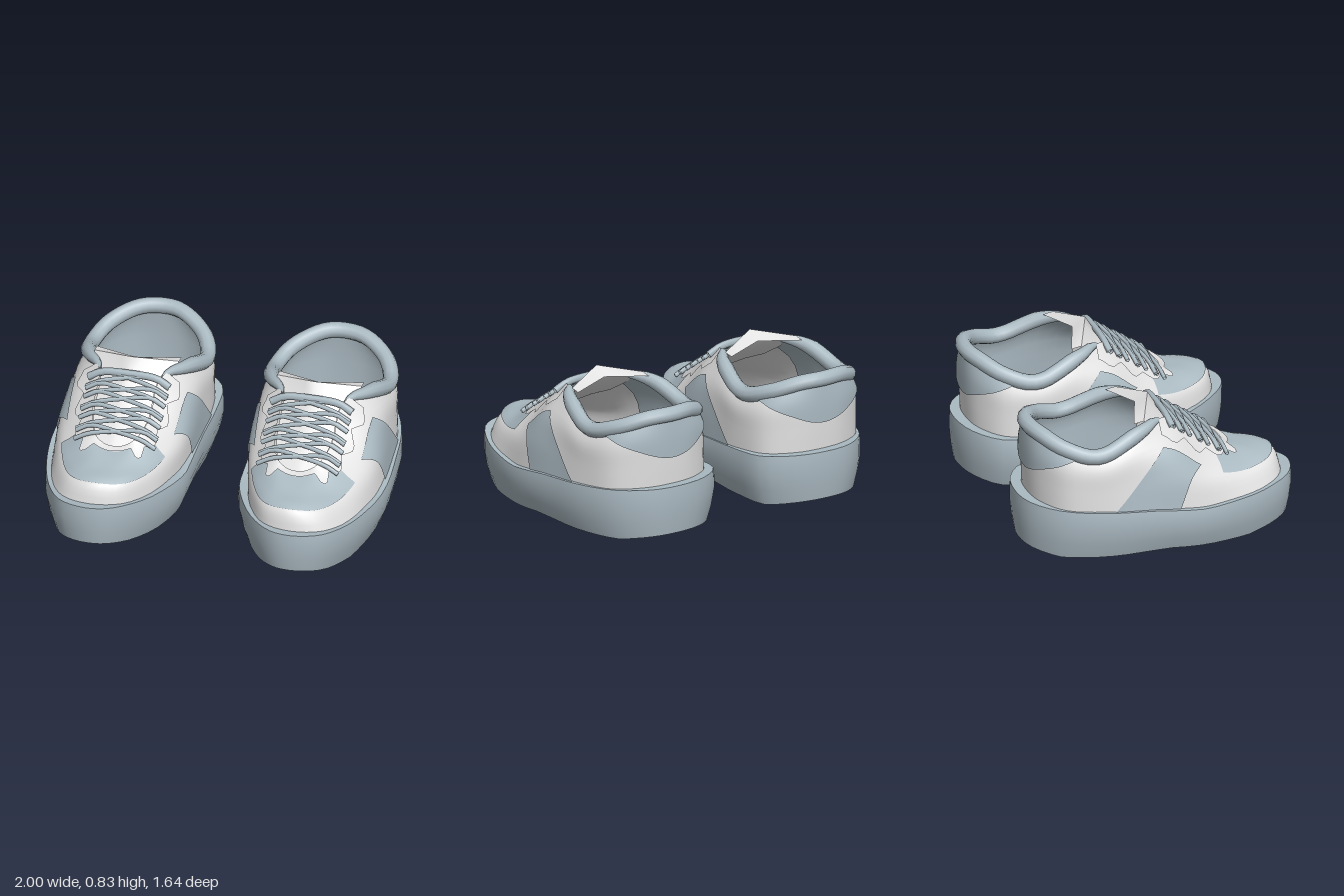
import * as THREE from 'three';

const white = new THREE.MeshStandardMaterial({ color: 0xe3e2e2, side: THREE.DoubleSide });
white.name = 'white leather';
const grey = new THREE.MeshStandardMaterial({ color: 0xabbac2, side: THREE.DoubleSide });
grey.name = 'blue grey';

const V = (x, y, z) => new THREE.Vector3(x, y, z);
const cr = (a, b, c, d, t) => 0.5 * (2 * b + (c - a) * t + (2 * a - 5 * b + 4 * c - d) * t * t + (3 * b - a - 3 * c + d) * t * t * t);

// Height (or other value) from a table of [z, value], z falling
function valueAt(table, z) {
  for (let i = 1; i < table.length; i++)
    if (z >= table[i][0] || i === table.length - 1) {
      const [z0, y0] = table[i - 1], [z1, y1] = table[i];
      return THREE.MathUtils.lerp(y0, y1, THREE.MathUtils.clamp((z - z0) / (z1 - z0), 0, 1));
    }
}

// Upper: nine outer columns from toe to heel; each runs from the sole to the top edge
const outer = [
  [[.60, .25, .76], [.58, .405, .715], [.56, .435, .57], [.54, .475, .41]],
  [[.78, .25, .70], [.735, .385, .65], [.66, .435, .54], [.61, .485, .395]],
  [[.89, .24, .50], [.84, .365, .46], [.76, .43, .43], [.66, .52, .35]],
  [[.945, .23, .25], [.915, .39, .22], [.83, .485, .22], [.70, .59, .22]],
  [[.965, .25, .05], [.94, .45, .02], [.87, .60, .02], [.71, .73, .02]],
  [[.955, .27, -.20], [.935, .45, -.20], [.91, .60, -.20], [.83, .72, -.17]],
  [[.93, .28, -.42], [.925, .42, -.42], [.92, .54, -.42], [.88, .63, -.42]],
  [[.86, .29, -.62], [.86, .43, -.62], [.855, .56, -.62], [.82, .67, -.60]],
  [[.70, .30, -.725], [.70, .45, -.73], [.70, .60, -.73], [.68, .725, -.71]],
];
const heel = [[.53, .30, -.75], [.53, .45, -.755], [.53, .60, -.755], [.53, .735, -.745]];
// The foot bends inward: opposite sides add up to this, fading towards the top edge
const bend = [[.70, 1.2], [.50, 1.18], [.25, 1.16], [.05, 1.145], [-.20, 1.12], [-.42, 1.095], [-.62, 1.07], [-.75, 1.06]];
const inner = outer.slice(1).reverse().map(col => col.map(([x, y, z], row) =>
  [THREE.MathUtils.lerp(valueAt(bend, z), 1.08, [0, .4, .7, 1][row]) - x, y, z]));
const columns = [...outer, heel, ...inner];
const N = columns.length;

// Point on the upper: u counts columns around the shoe, v runs 0 to 3 upward
function surface(u, v) {
  const i = Math.floor(u), fu = u - i;
  const j = Math.min(2, Math.max(0, Math.floor(v))), fv = v - j;
  const c = [0, 1, 2].map(k => {
    const row = r => cr(...[-1, 0, 1, 2].map(d => columns[(i + d + 2 * N) % N][r][k]), fu);
    const p1 = row(j), p2 = row(j + 1);
    const p0 = j > 0 ? row(j - 1) : 2 * p1 - p2;
    const p3 = j < 2 ? row(j + 2) : 2 * p2 - p1;
    return cr(p0, p1, p2, p3, fv);
  });
  return V(...c);
}

function offsetPoint(u, v, d) {
  const e = 0.02;
  const du = surface(u + e, v).sub(surface(u - e, v));
  const dv = surface(u, Math.min(3, v + e)).sub(surface(u, Math.max(0, v - e)));
  return surface(u, v).addScaledVector(du.cross(dv).normalize(), d);
}

// Grid of points f(s, t); wrap joins the s direction into a ring
function grid(f, ns, nt, wrap = false) {
  const pos = [], idx = [], w = wrap ? ns : ns + 1;
  for (let j = 0; j <= nt; j++)
    for (let i = 0; i < w; i++) pos.push(...f(i / ns, j / nt).toArray());
  for (let j = 0; j < nt; j++)
    for (let i = 0; i < ns; i++) {
      const a = j * w + i, b = j * w + (i + 1) % w;
      idx.push(a, b, a + w, b, b + w, a + w);
    }
  const g = new THREE.BufferGeometry();
  g.setAttribute('position', new THREE.Float32BufferAttribute(pos, 3));
  g.setIndex(idx);
  g.computeVertexNormals();
  return g;
}

// Panel lying on the upper between u0 and u1, from low(s) to high
const panel = (u0, u1, low, high, d, ns, nt) => grid((s, t) =>
  offsetPoint(u0 + (u1 - u0) * s, THREE.MathUtils.lerp(low(s), high, t), d), ns, nt);

// Slanted side panel given by its four (u, v) corners
const sidePanel = (flip) => grid((s, t) => {
  const r = flip ? 1 - s : s;
  const u = THREE.MathUtils.lerp(4.1 + 1.65 * r, 3.15 + 1.15 * r, t);
  const v = THREE.MathUtils.lerp(0.02, 1.75 + 0.35 * r, t);
  return offsetPoint(flip ? N - u : u, v, 0.008);
}, 10, 10);

// Sole: outline from toe round the outer side to the heel and back
const outline = new THREE.CatmullRomCurve3([
  [.65, .81], [.78, .745], [.885, .57], [.96, .34], [1, .08], [.985, -.20], [.95, -.45], [.86, -.66], [.70, -.79],
  [.52, -.82], [.32, -.78], [.16, -.65], [.135, -.42], [.145, -.15], [.15, .08], [.165, .28], [.275, .54], [.41, .73], [.52, .805],
].map(([x, z]) => V(x, 0, z)), true);
const soleTop = [[.81, .305], [.55, .265], [.20, .25], [-.10, .285], [-.82, .32]];
const soleBottom = [[.80, .06], [.65, .025], [.48, .002], [.20, .008], [-.03, .026], [-.3, .012], [-.65, .008], [-.82, .035]];

function solePoint(s, inset, f, k = 1) {
  const p = outline.getPoint(s % 1);
  p.x = .565 + (p.x - .565) * (1 - inset / .43) * k;
  p.z *= (1 - inset * .45 / .82) * k;
  p.y = THREE.MathUtils.lerp(valueAt(soleBottom, p.z), valueAt(soleTop, p.z), f);
  return p;
}
const soleLevels = [[.045, 0], [.016, .3], [0, .6], [0, .85], [.006, 1]];
const soleWall = () => grid((s, t) => solePoint(s, ...soleLevels[Math.round(t * 4)]), 57, 4, true);
const soleCap = (inset, f, up) => grid((s, t) => solePoint(s, inset, f, up ? 1 - t : t), 57, 8, true);

// Padded collar: a tube along the opening, closed to a point at both ends
function collar() {
  const pts = [];
  for (let u = 4.1; u <= 13.91; u += .35) pts.push(surface(u, 3));
  const path = new THREE.CatmullRomCurve3(pts), n = 48, sides = 10;
  const g = new THREE.TubeGeometry(path, n, .046, sides, false), p = g.attributes.position;
  for (let i = 0; i <= n; i++) {
    const c = path.getPointAt(i / n), k = Math.sqrt(Math.min(1, Math.min(i, n - i) / 6));
    for (let j = 0; j <= sides; j++) {
      const q = i * (sides + 1) + j, w = V().fromBufferAttribute(p, q).sub(c).multiplyScalar(k).add(c);
      p.setXYZ(q, w.x, w.y, w.z);
    }
  }
  return g;
}

// Tongue rows: z, y, half width, droop and sweep back at the sides; the last row folds back inside
const tongueRows = [[.42, .465, .12, .01, 0], [.25, .575, .16, .03, 0], [.12, .655, .19, .05, .01],
  [.04, .73, .22, .05, .05], [-.02, .83, .25, .06, .11], [-.10, .78, .25, .02, .09]];
const tonguePart = (from, rows) => grid((s, t) => {
  const [z, y, w, droop, back] = tongueRows[from + Math.round(t * rows)], k = s * 2 - 1, a = Math.abs(k);
  return V(.54 + w * k, y - droop * a, z - back * a);
}, 8, rows);

// One lace strand arched over the tongue
function lace(z0, z1, r) {
  const y = z => .49 + (.36 - z) * .66;
  const mid = (z0 + z1) / 2;
  return new THREE.TubeGeometry(new THREE.CatmullRomCurve3([
    V(.30, y(z0), z0 + .01), V(.38, y(z0) + .04, z0), V(.54, y(mid) + .05, mid),
    V(.70, y(z1) + .04, z1), V(.78, y(z1), z1 + .01),
  ]), 14, r, 6, false);
}

function mirrored(geometry) {
  const g = geometry.clone().scale(-1, 1, 1), a = g.index.array;
  for (let i = 0; i < a.length; i += 3) [a[i], a[i + 1]] = [a[i + 1], a[i]];
  return g;
}

export function createModel() {
  const parts = [
    ['soleWall', grey, soleWall()],
    ['soleTop', grey, soleCap(.006, 1, true)],
    ['soleBottom', grey, soleCap(.045, 0, false)],
    ['upper', white, grid((s, t) => surface(s * N, t * 3), 72, 12, true)],
    ['lining', grey, panel(3.9, 14.1, () => 0, 3, -.014, 40, 6)],
    ['toePanel', grey, panel(-2.55, 2.55, s => 1.08 + .25 * Math.abs(s * 2 - 1) ** 3, 2.8, .006, 30, 8)],
    ['outerSidePanel', grey, sidePanel(false)],
    ['innerSidePanel', grey, sidePanel(true)],
    // eyelet stay with a zigzag lower edge
    ['eyeletStay', white, panel(-4.3, 4.3, s => {
      const k = Math.abs(s * 2 - 1) * 4.3;
      return k < 1.5 ? 2.75 : 2.15 + .35 * Math.abs(((k * 1.4) % 1) * 2 - 1);
    }, 3, .016, 60, 4)],
    ['heelTab', grey, panel(6.75, 11.25, s => 1.2 + 1.4 * Math.abs(s * 2 - 1) ** 2, 3, .016, 24, 8)],
    ['collar', grey, collar()],
    ['tongue', white, tonguePart(0, 4)],
    ['tongueFold', white, tonguePart(4, 1)],
  ];
  for (let i = 0; i < 6; i++) {
    const z = .37 - i * .056, skew = .045 + .012 * (i % 2);
    parts.push(['lace', grey, lace(z, z - skew, .013)], ['lace', grey, lace(z - skew, z, .013)]);
  }
  parts.push(['topLace', grey, lace(.04, .04, .022)]);

  const model = new THREE.Group();
  model.name = 'pairOfShoes';
  for (const side of ['left', 'right']) {
    const shoe = new THREE.Group();
    shoe.name = side + 'Shoe';
    for (const [name, material, geometry] of parts) {
      const mesh = new THREE.Mesh(side === 'left' ? geometry : mirrored(geometry), material);
      mesh.name = name;
      shoe.add(mesh);
    }
    model.add(shoe);
  }
  return model;
}
